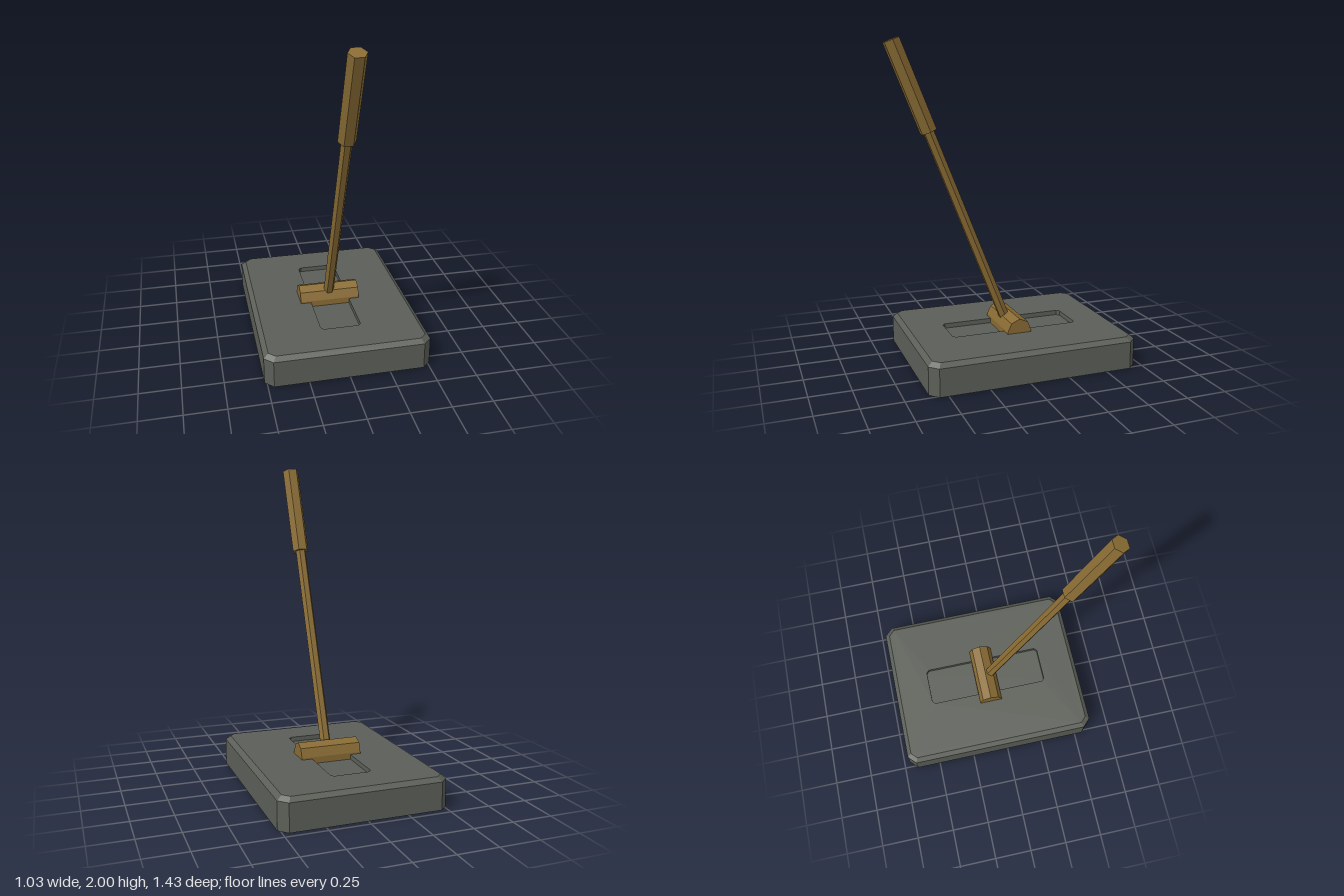
import * as THREE from 'three';

// Rectangle with cut corners, as [x, z] points
function cutRect(hx, z0, z1, c) {
  return [
    [-hx + c, z0], [hx - c, z0], [hx, z0 + c], [hx, z1 - c],
    [hx - c, z1], [-hx + c, z1], [-hx, z1 - c], [-hx, z0 + c],
  ];
}

// Flat-shaded side walls joining loops [points, y]
function walls(loops) {
  const pos = [];
  for (let k = 0; k + 1 < loops.length; k++) {
    const [p, y0] = loops[k], [q, y1] = loops[k + 1];
    for (let i = 0; i < p.length; i++) {
      const j = (i + 1) % p.length;
      const a = [p[i][0], y0, p[i][1]], b = [p[j][0], y0, p[j][1]];
      const c = [q[j][0], y1, q[j][1]], d = [q[i][0], y1, q[i][1]];
      pos.push(...a, ...c, ...b, ...a, ...d, ...c);
    }
  }
  const geo = new THREE.BufferGeometry();
  geo.setAttribute('position', new THREE.Float32BufferAttribute(pos, 3));
  geo.computeVertexNormals();
  return geo;
}

// Horizontal face from an outline, optionally with a hole
function plate(points, y, hole, down) {
  const s = down ? 1 : -1;
  const vec = (l) => l.map(([x, z]) => new THREE.Vector2(x, s * z));
  const shape = new THREE.Shape(vec(points));
  if (hole) shape.holes.push(new THREE.Path(vec(hole)));
  return new THREE.ShapeGeometry(shape).rotateX(s * Math.PI / 2).translate(0, y, 0);
}

export function createModel() {
  const root = new THREE.Group();
  const stone = new THREE.MeshStandardMaterial({ color: 0x5c5f58 });
  stone.name = 'greyStone';
  const wood = new THREE.MeshStandardMaterial({ color: 0x8a6c34 });
  wood.name = 'brownWood';
  const add = (parent, name, geo, mat) => {
    const mesh = new THREE.Mesh(geo, mat);
    mesh.name = name;
    parent.add(mesh);
    return mesh;
  };

  // Bevelled base with a shallow slot in its top
  const base = new THREE.Group();
  base.name = 'base';
  root.add(base);
  const outer = cutRect(0.515, -0.71, 0.605, 0.052);
  const inner = cutRect(0.485, -0.682, 0.577, 0.038);
  const slot = cutRect(0.127, -0.465, 0.355, 0.018);
  const top = 0.195, floor = 0.165;
  add(base, 'baseSides', walls([[outer, 0], [outer, 0.17], [inner, top]]), stone);
  add(base, 'baseTop', plate(inner, top, slot), stone);
  add(base, 'baseBottom', plate(outer, 0, null, true), stone);
  add(base, 'slotWalls', walls([[slot, top], [slot, floor]]), stone);
  add(base, 'slotFloor', plate(slot, floor), stone);

  // Faceted pivot bar lying across the slot
  const profile = [[0.025, 0.165], [0.025, 0.205], [0, 0.26], [-0.055, 0.285], [-0.11, 0.262], [-0.13, 0.205], [-0.13, 0.165]];
  const bar = new THREE.ExtrudeGeometry(
    new THREE.Shape(profile.map(([z, y]) => new THREE.Vector2(-z, y)).reverse()),
    { depth: 0.39, bevelEnabled: false });
  bar.translate(0, 0, -0.195).rotateY(Math.PI / 2);
  add(root, 'pivotBar', bar, wood);

  // Leaning six-sided lever: thin shaft and thicker grip
  const lever = new THREE.Group();
  lever.name = 'lever';
  lever.position.set(0, 0.22, -0.034);
  lever.rotation.x = Math.atan(0.4);
  root.add(lever);
  const hex = (r, y0, y1) =>
    new THREE.CylinderGeometry(r, r, y1 - y0, 6).rotateY(Math.PI / 2)
      .translate(0, (y0 + y1) / 2, 0).toNonIndexed();
  for (const [name, r, y0, y1] of [['shaft', 0.034, 0, 1.34], ['grip', 0.054, 1.323, 1.9]]) {
    const geo = hex(r, y0, y1);
    geo.computeVertexNormals();
    add(lever, name, geo, wood);
  }
  return root;
}
